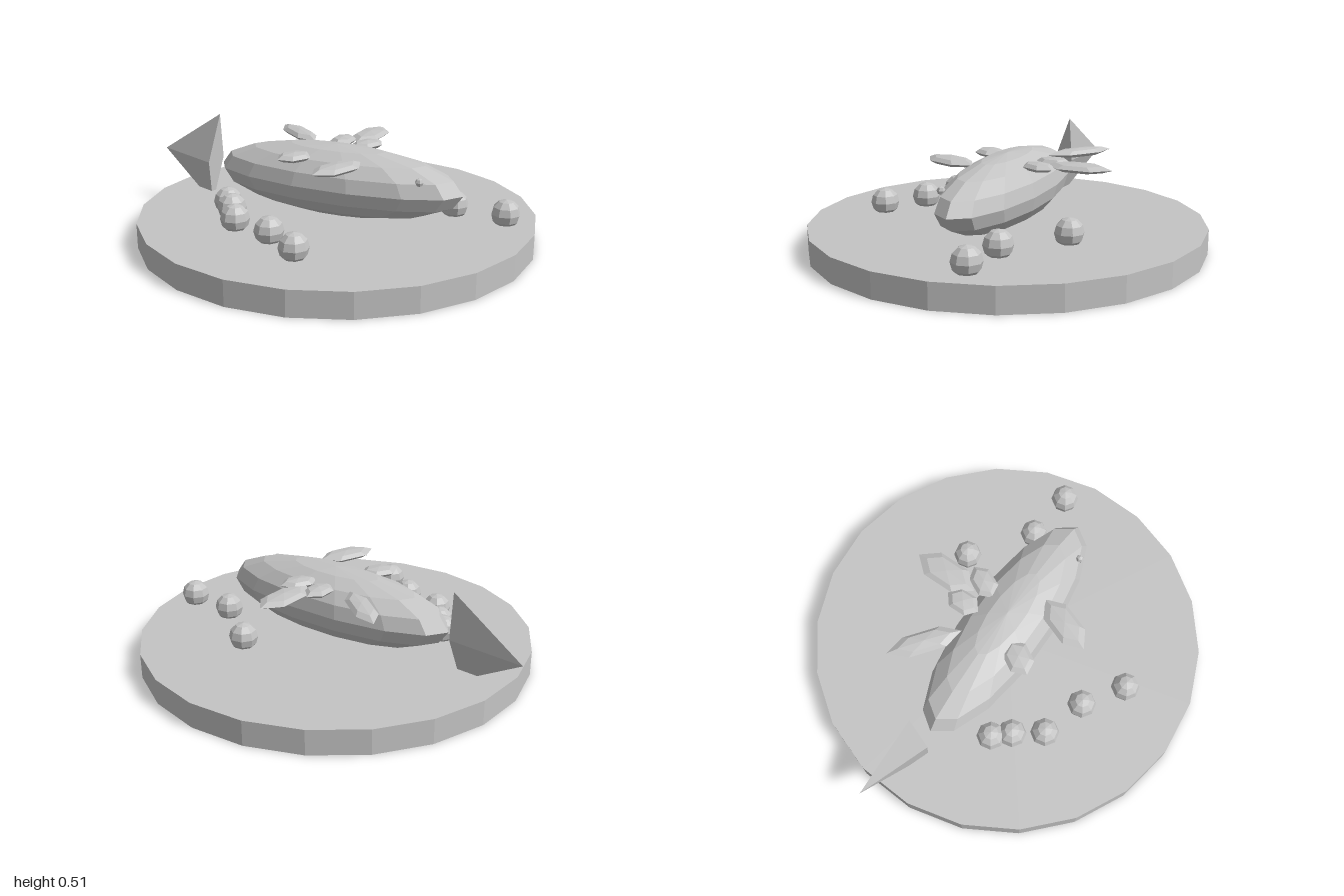
import * as THREE from 'three';

export function createModel() {
  const model = new THREE.Group();
  const grey = new THREE.MeshStandardMaterial({ color: 0xc4c4c4, flatShading: true });
  grey.name = 'light grey';

  function add(name, geometry, x, y, z, parent = model) {
    const mesh = new THREE.Mesh(geometry, grey);
    mesh.name = name;
    mesh.position.set(x, y, z);
    parent.add(mesh);
    return mesh;
  }

  // Round base with 22 sides
  add('base', new THREE.CylinderGeometry(0.95, 0.95, 0.12, 22, 1, false, Math.PI / 2), 0.045, 0.06, 0);

  // Long low-poly body, turned slightly on the base
  const body = add('body', new THREE.SphereGeometry(1, 14, 8), 0.045, 0.28, 0);
  body.scale.set(0.632, 0.17, 0.205);
  body.rotation.y = 0.2;

  // Single small eye near the nose
  const eye = add('eye', new THREE.SphereGeometry(0.02, 6, 4), 0.518, 0.355, 0.018);
  eye.rotation.y = 0.2;

  // Tail: pyramid on a diamond section, pointing away from the body
  const apex = [-1, 0.28, 0.115];
  const ring = [[0.51, 0.078], [0.275, 0.171], [0.055, 0.152], [0.285, 0.062]]
    .map(([y, z]) => [-0.635, y, z]);
  const corners = [];
  ring.forEach((p, i) => corners.push(...apex, ...ring[(i + 1) % 4], ...p));
  for (const i of [1, 2]) corners.push(...ring[0], ...ring[i + 1], ...ring[i]);
  // Point every face outward from the middle of the pyramid
  const centre = new THREE.Vector3(-0.73, 0.281, 0.1155);
  for (let i = 0; i < corners.length; i += 9) {
    const [a, b, c] = [0, 3, 6].map((k) => new THREE.Vector3().fromArray(corners, i + k));
    const normal = b.clone().sub(a).cross(c.clone().sub(a));
    if (normal.dot(a.clone().sub(centre)) < 0) {
      c.toArray(corners, i + 3);
      b.toArray(corners, i + 6);
    }
  }
  const tail = new THREE.BufferGeometry();
  tail.setAttribute('position', new THREE.Float32BufferAttribute(corners, 3));
  tail.computeVertexNormals();
  add('tail', tail, 0, 0, 0);

  // Flat faceted fins: ends of the long axis (x, z), then half width
  const fins = [
    ['rearFin', -0.485, -0.255, -0.16, -0.095, 0.06],
    ['backFin', -0.04, -0.52, 0.02, -0.2, 0.08],
    ['frontFin', 0.18, 0.365, 0.23, 0.065, 0.075],
    ['smallFrontFin', -0.095, 0.27, -0.035, 0.095, 0.07],
    ['smallBackFin', 0.105, -0.29, 0.06, -0.11, 0.062],
    ['smallBackFin', -0.075, -0.28, -0.04, -0.11, 0.062],
  ];
  for (const [name, x1, z1, x2, z2, width] of fins) {
    const fin = add(name, new THREE.SphereGeometry(1, 6, 4), (x1 + x2) / 2, 0.41, (z1 + z2) / 2);
    fin.scale.set(Math.hypot(x2 - x1, z2 - z1) / 2, 0.022, width);
    fin.rotation.y = -Math.atan2(z2 - z1, x2 - x1);
  }

  // Faceted balls scattered on the base
  const balls = new THREE.Group();
  balls.name = 'balls';
  model.add(balls);
  const ballGeometry = new THREE.SphereGeometry(0.069, 8, 6);
  const spots = [
    [0.2, -0.445], [0.525, -0.295], [0.78, -0.325], [-0.37, 0.315],
    [-0.29, 0.375], [-0.175, 0.48], [0.05, 0.505], [0.262, 0.592],
  ];
  for (const [x, z] of spots) add('ball', ballGeometry, x, 0.167, z, balls);

  return model;
}
